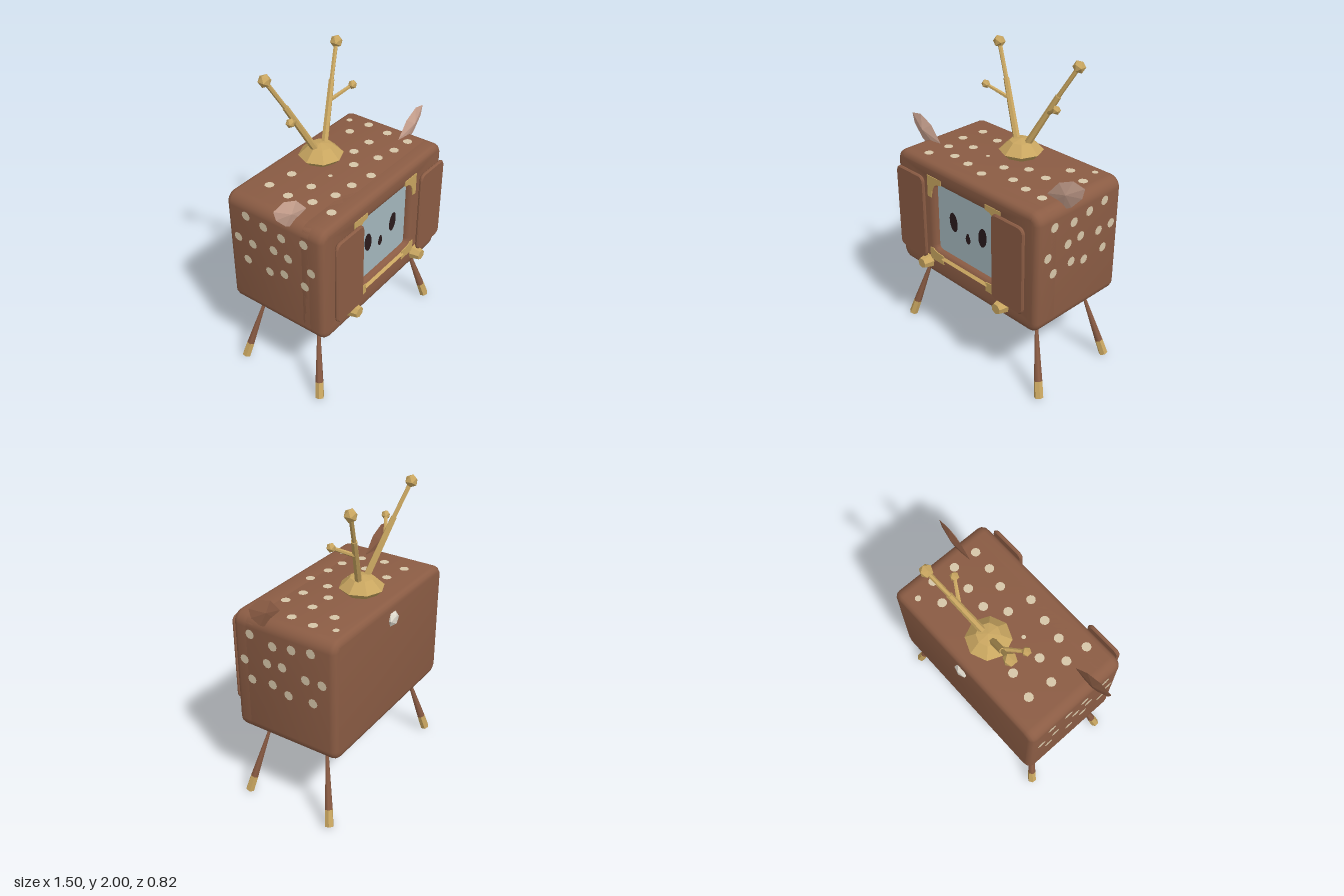
import * as THREE from 'three';
import { toCreasedNormals } from 'three/addons/utils/BufferGeometryUtils.js';

const mat = (name, color, extra = {}) => {
  const m = new THREE.MeshStandardMaterial({ color, ...extra });
  m.name = name;
  return m;
};

// Rounded rectangle from corner to corner
function roundRect(x0, y0, x1, y1, r, Type = THREE.Shape) {
  const s = new Type();
  s.absarc(x1 - r, y0 + r, r, -Math.PI / 2, 0);
  s.absarc(x1 - r, y1 - r, r, 0, Math.PI / 2);
  s.absarc(x0 + r, y1 - r, r, Math.PI / 2, Math.PI);
  s.absarc(x0 + r, y0 + r, r, Math.PI, Math.PI * 1.5);
  s.closePath();
  return s;
}

// Extrusion between z0 and z1, bevel included
function slab(shape, z0, z1, bevel = 0, segments = 3) {
  const g = new THREE.ExtrudeGeometry(shape, {
    depth: z1 - z0 - 2 * bevel, bevelEnabled: bevel > 0, bevelSize: bevel,
    bevelThickness: bevel, bevelSegments: segments, curveSegments: 4,
  });
  g.translate(0, 0, z0 + bevel);
  return toCreasedNormals(g, 0.7);
}

export function createModel() {
  const brown = mat('brown', 0x8b5c44);
  const gold = mat('gold', 0xc9a660, { flatShading: true });
  const glass = mat('screen blue', 0xa4b8be);
  const dark = mat('face dark', 0x2a1a1c);
  const cream = mat('spot cream', 0xd6c6a8);
  const pink = mat('inner ear', 0xcda592, { flatShading: true, side: THREE.DoubleSide });
  const earBrown = mat('outer ear', 0x8b5c44, { flatShading: true, side: THREE.DoubleSide });
  const white = mat('tail white', 0xddd8cb, { flatShading: true });

  const model = new THREE.Group();
  const add = (name, geometry, material, x = 0, y = 0, z = 0) => {
    const m = new THREE.Mesh(geometry, material);
    m.name = name;
    m.position.set(x, y, z);
    model.add(m);
    return m;
  };

  // Tapered rod from point a to point b
  const up = new THREE.Vector3(0, 1, 0);
  const rod = (name, a, b, ra, rb, material, sides = 6) => {
    const p = new THREE.Vector3(...a), q = new THREE.Vector3(...b);
    const d = q.clone().sub(p);
    const m = add(name, new THREE.CylinderGeometry(rb, ra, d.length(), sides), material);
    m.position.copy(p).add(q).multiplyScalar(0.5);
    m.quaternion.setFromUnitVectors(up, d.normalize());
  };

  // Cabinet: closed rear shell and a front ring with a bevelled opening
  const b = 0.04;
  const outline = () => roundRect(-0.632 + b, 0.518 + b, 0.632 - b, 1.335 - b, 0.035);
  add('cabinet', slab(outline(), -0.385, 0.28, b), brown);
  const ring = outline();
  ring.holes.push(roundRect(-0.32, 0.675, 0.32, 1.235, 0.07, THREE.Path));
  add('cabinetFront', slab(ring, 0.15, 0.34, b), brown);

  // Screen with a simple face
  add('screen', slab(roundRect(-0.3, 0.69, 0.3, 1.22, 0.05), 0.28, 0.3), glass);
  const oval = (name, x, y, w, h, tilt) => {
    const m = add(name, new THREE.CircleGeometry(1, 16), dark, x, y, 0.304);
    m.scale.set(w, h, 1);
    m.rotation.z = tilt;
  };
  oval('nose', 0, 0.9, 0.022, 0.033, 0);
  oval('noseTop', 0, 0.93, 0.012, 0.014, 0);

  // Gold ledge along the lower edge of the opening
  const ledge = add('screenLedge', new THREE.BoxGeometry(0.42, 0.05, 0.006), gold, 0, 0.69, 0.332);
  ledge.rotation.x = -0.85;

  for (const s of [-1, 1]) {
    oval('eye', s * 0.133, 0.97, 0.037, 0.068, s * -0.12);

    // Door panels standing just off the front
    const x0 = Math.min(s * 0.305, s * 0.57), x1 = Math.max(s * 0.305, s * 0.57);
    const d = 0.008;
    add('door', slab(roundRect(x0 + d, 0.665 + d, x1 - d, 1.258 - d, 0.035), 0.376, 0.4, d, 1), brown);

    // Gold corner plates around the opening
    for (const [yOut, yIn, ySide] of [[1.25, 1.215, 1.1], [0.635, 0.7, 0.72]]) {
      const c = new THREE.Shape();
      c.moveTo(s * 0.2, yOut);
      c.lineTo(s * 0.33, yOut);
      c.lineTo(s * 0.33, ySide);
      c.lineTo(s * 0.296, ySide);
      c.quadraticCurveTo(s * 0.29, yIn, s * 0.2, yIn);
      c.closePath();
      add('cornerPlate', slab(c, 0.338, 0.344), gold);
    }

    // Knobs
    const knob = add('knob', new THREE.CylinderGeometry(0.036, 0.054, 0.075, 7), gold, s * 0.352, 0.607, 0.368);
    knob.rotation.x = Math.PI / 2;

    // Splayed legs with gold feet
    for (const [zTop, zFoot] of [[0.185, 0.295], [-0.225, -0.335]]) {
      const top = [s * 0.483, 0.54, zTop], foot = [s * 0.626, 0.01, zFoot];
      const ankle = top.map((v, i) => v + (foot[i] - v) * 0.8);
      rod('leg', ankle, top, 0.027, 0.006, brown);
      rod('foot', foot, ankle, 0.03, 0.0275, gold);
    }

    // Ears: leaf outline with a raised centre, pale in front and brown behind
    const leaf = [[0.475, 1.34], [0.56, 1.44], [0.665, 1.488], [0.752, 1.472], [0.735, 1.405],
      [0.66, 1.32], [0.6, 1.285], [0.5, 1.29]];
    for (const [name, dz, m] of [['innerEar', 0.024, pink], ['outerEar', -0.022, earBrown]]) {
      const pts = [];
      leaf.forEach((p, i) => {
        const n = leaf[(i + 1) % leaf.length];
        const tri = [[0.63, 1.395, 0.105 + dz], [n[0], n[1], 0.105], [p[0], p[1], 0.105]];
        if (s * dz < 0) tri.reverse();
        tri.forEach(([x, y, z]) => pts.push(new THREE.Vector3(s * x, y, z)));
      });
      const g = new THREE.BufferGeometry().setFromPoints(pts);
      g.computeVertexNormals();
      add(name, g, m);
    }

    // Branching antennas with faceted tips
    const root = [s * 0.045, 1.42, -0.165], mid = [s * 0.222, 1.765, -0.243], tip = [s * 0.333, 1.965, -0.29];
    rod('antennaLower', root, mid, 0.023, 0.019, gold);
    rod('antennaUpper', mid, tip, 0.014, 0.014, gold);
    rod('antennaBranch', [s * 0.175, 1.655, -0.215], [s * 0.3, 1.73, -0.14], 0.014, 0.011, gold);
    add('antennaTip', new THREE.IcosahedronGeometry(0.041, 0), gold, ...tip);
    add('branchTip', new THREE.IcosahedronGeometry(0.029, 0), gold, s * 0.3, 1.73, -0.14);

    // Side spots as z, y
    for (const [z, y] of [[0.21, 1.22], [0.045, 1.19], [-0.09, 1.21], [-0.225, 1.23], [0.26, 1.035],
      [0.09, 1.06], [-0.02, 1.07], [-0.185, 1.04], [-0.3, 1.045], [0.21, 0.91], [0.055, 0.925],
      [-0.06, 0.89], [-0.235, 0.9]]) {
      const spot = add('sideSpot', new THREE.CircleGeometry(0.031, 10), cream, s * 0.635, y, z);
      spot.rotation.y = s * Math.PI / 2;
    }
  }

  // Top spots as x, z
  for (const [x, z] of [[-0.42, -0.22], [-0.25, -0.19], [-0.44, -0.06], [-0.285, -0.01], [-0.405, 0.095],
    [-0.27, 0.16], [-0.13, 0.175], [0.025, 0.205], [-0.42, 0.245], [0.06, 0.05], [0.185, -0.04],
    [0.215, 0.125], [0.335, -0.03], [0.37, -0.21], [0.49, -0.3], [0.515, -0.16], [0.5, 0],
    [0.35, 0.155], [0.49, 0.165], [-0.125, 0.01]]) {
    const r = x === -0.125 ? 0.014 : z === -0.3 ? 0.02 : 0.03;
    const spot = add('topSpot', new THREE.CircleGeometry(r, 10), cream, x, 1.338, z);
    spot.rotation.x = -Math.PI / 2;
  }

  // Faceted antenna base
  const dome = [[0.1, 1.33], [0.143, 1.372], [0.075, 1.435], [0, 1.448]].map(p => new THREE.Vector2(...p));
  add('antennaBase', new THREE.LatheGeometry(dome, 8), gold, 0, 0, -0.16);

  // Small tail on the back
  const tail = add('tail', new THREE.IcosahedronGeometry(0.055, 0), white, 0, 1.215, -0.383);
  tail.scale.set(1, 0.95, 0.6);

  return model;
}
